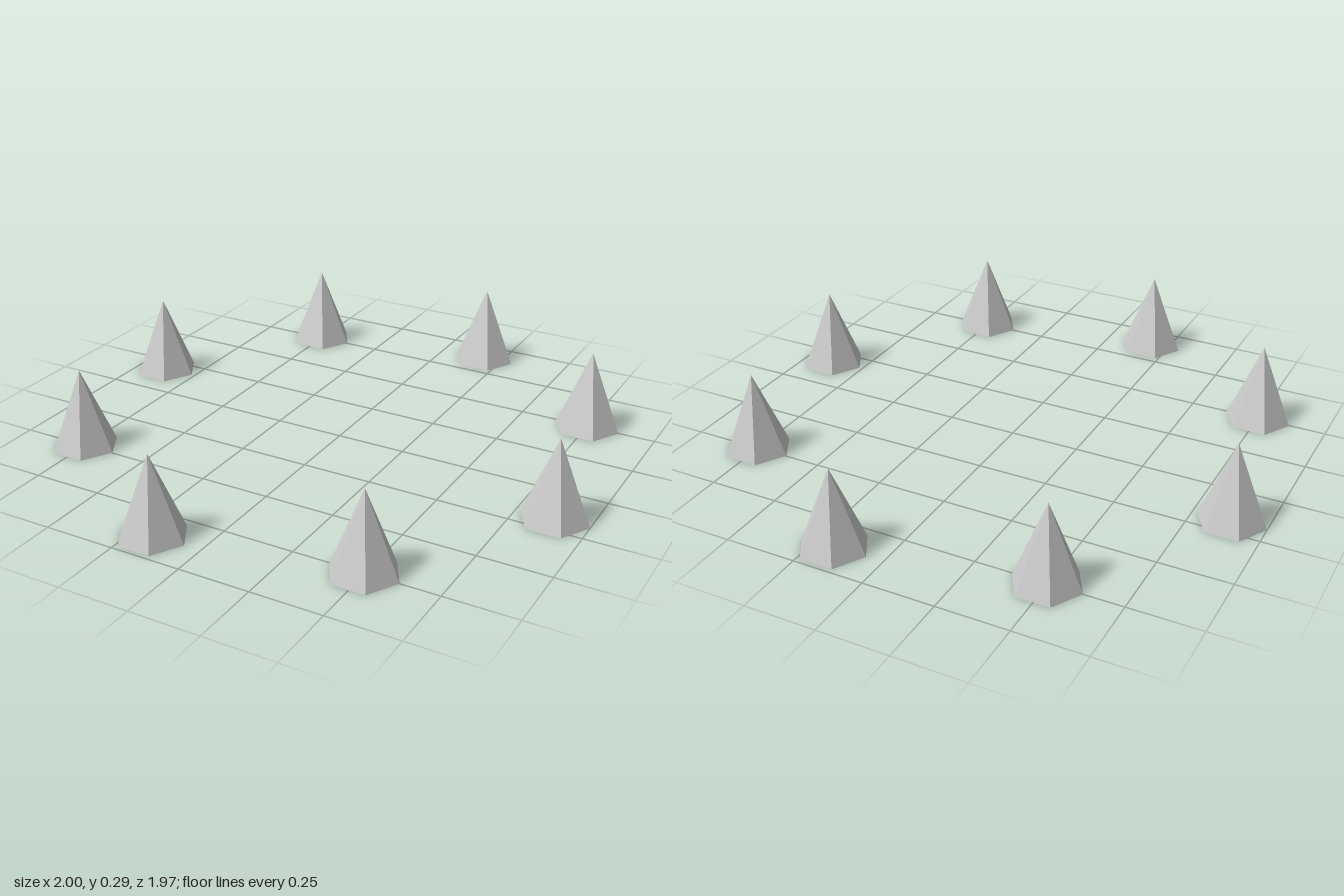
import * as THREE from 'three';

const COUNT = 8;
const RING_RADIUS = 0.9;
const SPIKE_RADIUS = 0.118;
const SPIKE_HEIGHT = 0.29;
const START_ANGLE = 0.2;

export function createModel() {
  const model = new THREE.Group();
  model.name = 'spikeRing';
  const material = new THREE.MeshStandardMaterial({ color: 0xcccccc, flatShading: true });

  // Six-sided spike standing on y = 0, with corners on the x axis
  const geometry = new THREE.ConeGeometry(SPIKE_RADIUS, SPIKE_HEIGHT, 6);
  geometry.rotateY(Math.PI / 2);
  geometry.translate(0, SPIKE_HEIGHT / 2, 0);

  // Spikes evenly spaced on a circle, all facing the same way
  for (let i = 0; i < COUNT; i++) {
    const angle = START_ANGLE + (i / COUNT) * Math.PI * 2;
    const spike = new THREE.Mesh(geometry, material);
    spike.name = `spike${i + 1}`;
    spike.position.set(Math.cos(angle) * RING_RADIUS, 0, Math.sin(angle) * RING_RADIUS);
    model.add(spike);
  }
  return model;
}
